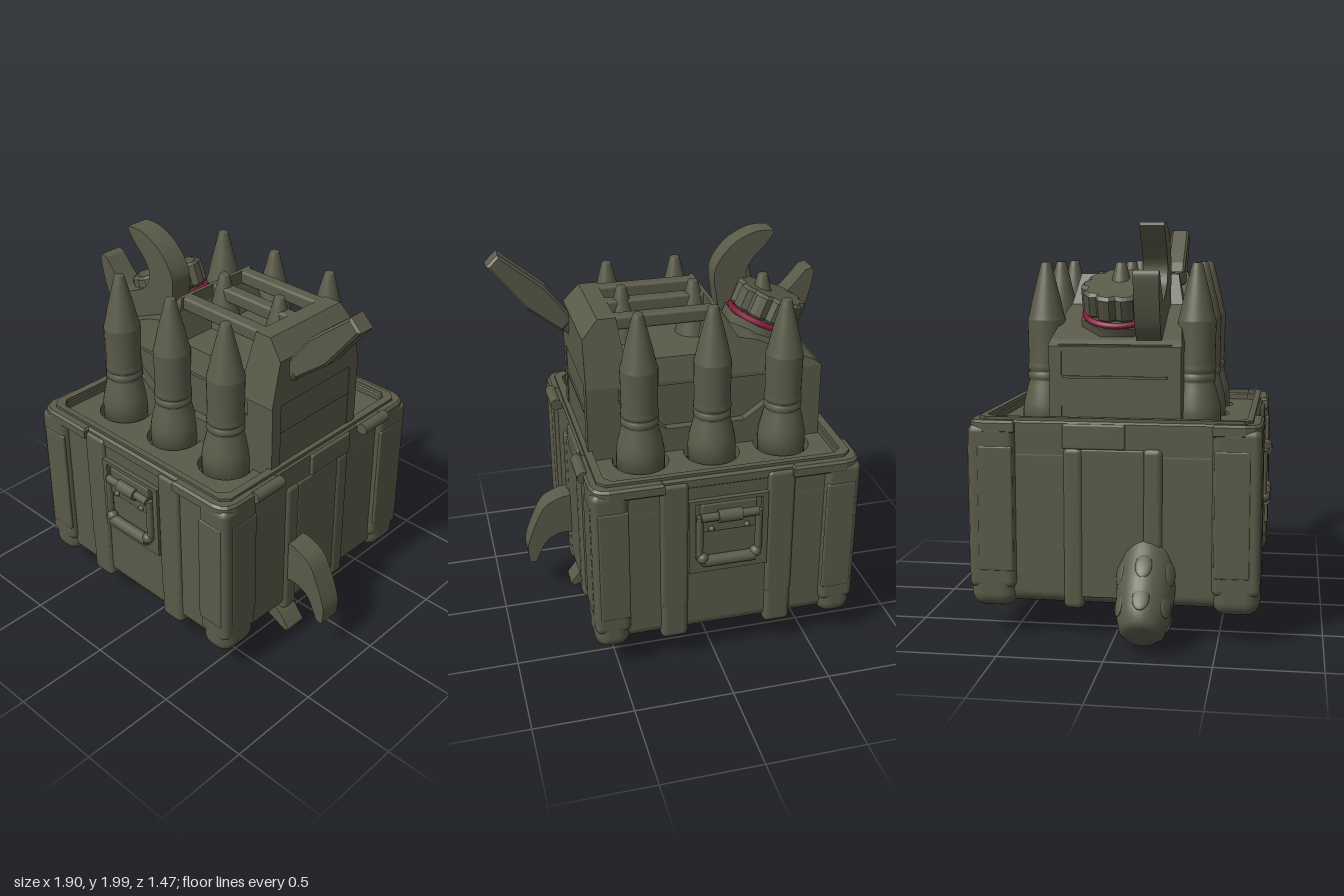
import * as THREE from 'three';
import { RoundedBoxGeometry } from 'three/addons/geometries/RoundedBoxGeometry.js';

const olive = new THREE.MeshStandardMaterial({ color: 0x5a5a49 });
olive.name = 'olive drab';
const red = new THREE.MeshStandardMaterial({ color: 0x82193a });
red.name = 'seal red';

const V2 = (list) => list.map(([x, y]) => new THREE.Vector2(x, y));

function add(parent, name, geometry, x = 0, y = 0, z = 0, material = olive) {
  const mesh = new THREE.Mesh(geometry, material);
  mesh.name = name;
  mesh.position.set(x, y, z);
  parent.add(mesh);
  return mesh;
}

function group(parent, name, x = 0, y = 0, z = 0) {
  const g = new THREE.Group();
  g.name = name;
  g.position.set(x, y, z);
  parent.add(g);
  return g;
}

const rbox = (w, h, d, r) => new RoundedBoxGeometry(w, h, d, 3, r);
const lathe = (list, n = 32) => new THREE.LatheGeometry(V2(list), n);
const extrude = (shape, depth, bevel = 0) => new THREE.ExtrudeGeometry(shape, {
  depth, bevelEnabled: bevel > 0, bevelSize: bevel, bevelThickness: bevel,
  bevelOffset: -bevel, bevelSegments: 1, curveSegments: 20,
});
// Horizontal slab: a plan shape extruded upward
const slab = (shape, h, bevel = 0) => extrude(shape, h, bevel).rotateX(-Math.PI / 2);
// Plan rectangle with cut corners
const rect = (w, d, c = 0.04) => V2([
  [c - w / 2, -d / 2], [w / 2 - c, -d / 2], [w / 2, c - d / 2], [w / 2, d / 2 - c],
  [w / 2 - c, d / 2], [c - w / 2, d / 2], [-w / 2, d / 2 - c], [-w / 2, c - d / 2],
]);
function ring(outer, inner) {
  const s = new THREE.Shape(outer);
  s.holes.push(new THREE.Path(inner));
  return s;
}

function crate(root) {
  const c = group(root, 'crate', -0.055);
  add(c, 'crateBody', rbox(1.29, 0.78, 1.33, 0.06), 0, 0.57);
  add(c, 'upperWall', slab(ring(rect(1.29, 1.33), rect(1.18, 1.24)), 0.13), 0, 0.91);

  for (const s of [-1, 1]) {
    // Straps that wrap the walls and the bottom
    add(c, 'longStrap', rbox(0.14, 0.79, 1.37, 0.03), s * 0.27, 0.555);
    add(c, 'crossStrap', rbox(1.32, 0.79, 0.1, 0.03), 0, 0.555, s * 0.19);
    add(c, 'sidePanel', rbox(0.02, 0.72, 0.3, 0.008), s * 0.645, 0.58);
    add(c, 'sideTab', rbox(0.03, 0.12, 0.3, 0.01), s * 0.645, 1, -0.09);
    for (const t of [-1, 1]) {
      add(c, 'strapTop', rbox(0.14, 0.7, 0.06, 0.02), s * 0.27, 0.7, t * 0.655);
      // Corner post: lower block plus two plates reaching the rim
      add(c, 'cornerPost', rbox(0.18, 0.8, 0.23, 0.07), s * 0.585, 0.555, t * 0.585);
      add(c, 'postFront', rbox(0.18, 0.8, 0.08, 0.035), s * 0.585, 0.65, t * 0.66);
      add(c, 'postSide', rbox(0.08, 0.8, 0.23, 0.035), s * 0.635, 0.65, t * 0.585);
      add(c, 'postPanel', rbox(0.15, 0.61, 0.02, 0.01), s * 0.573, 0.645, t * 0.695);
      add(c, 'postSidePanel', rbox(0.02, 0.61, 0.17, 0.01), s * 0.668, 0.645, t * 0.565);
    }
  }

  // Notched rim, wider over the corner posts
  const q = [[0.645, 0.47], [0.675, 0.47], [0.675, 0.62], [0.66, 0.665], [0.635, 0.688], [0.59, 0.7], [0.32, 0.7], [0.32, 0.67]];
  const back = [...q].reverse();
  const outline = V2([
    ...q, ...back.map(([x, y]) => [-x, y]), ...q.map(([x, y]) => [-x, -y]), ...back.map(([x, y]) => [x, -y]),
  ]);
  add(c, 'rim', slab(ring(outline, rect(1.18, 1.24)), 0.04, 0.012), 0, 1.02);
  add(c, 'rimLip', slab(ring(rect(1.27, 1.31), rect(1.19, 1.25)), 0.02), 0, 1.066);

  // Inner tray with round sockets
  const tray = new THREE.Shape(rect(1.2, 1.26));
  for (const x of [-0.365, 0, 0.365]) for (const z of [-0.37, 0.37]) {
    tray.holes.push(new THREE.Path().absarc(x, z, 0.14, 0, Math.PI * 2, true));
  }
  add(c, 'tray', slab(tray, 0.07), 0, 0.962);

  // Hinge barrels
  for (const z of [-0.405, 0.405]) {
    add(c, 'hinge', new THREE.CylinderGeometry(0.03, 0.03, 0.19, 14).rotateX(Math.PI / 2), 0.675, 1.05, z);
    add(c, 'hingeLeaf', rbox(0.06, 0.05, 0.19, 0.01), 0.64, 1.045, z);
  }

  // Drop handles front and back
  for (const s of [0, 1]) {
    const h = group(c, 'dropHandle');
    h.rotation.y = s * Math.PI;
    const frame = ring(
      V2([[-0.2, 0.54], [0.2, 0.54], [0.2, 0.95], [-0.2, 0.95]]),
      V2([[-0.17, 0.63], [-0.13, 0.57], [0.13, 0.57], [0.17, 0.63], [0.17, 0.93], [-0.17, 0.93]]),
    );
    add(h, 'handleFrame', extrude(frame, 0.03), 0, 0, 0.66);
    add(h, 'hingePlate', rbox(0.28, 0.16, 0.04, 0.01), 0, 0.85, 0.675);
    const bar = (name, len, r, x, y) => add(h, name,
      new THREE.CylinderGeometry(r, r, len, 12).rotateZ(Math.PI / 2), x, y, 0.7);
    bar('hingePin', 0.29, 0.022, 0, 0.86);
    bar('hingeBarrel', 0.12, 0.034, 0, 0.86);
    bar('grip', 0.26, 0.03, 0, 0.61);
    for (const x of [-0.15, 0.15]) {
      add(h, 'handleArm', new THREE.CylinderGeometry(0.018, 0.018, 0.22, 10), x, 0.755, 0.695);
      add(h, 'handleElbow', new THREE.SphereGeometry(0.03, 12, 8), x * 0.9, 0.63, 0.7);
    }
    for (const x of [-0.09, 0.09]) add(h, 'rivet', new THREE.SphereGeometry(0.016, 10, 8), x, 0.79, 0.695);
  }
}

function bullets(root) {
  const geometry = lathe([
    [0, 0.96], [0.12, 0.96], [0.12, 1.09], [0.115, 1.13], [0.096, 1.21], [0.088, 1.235], [0.088, 1.245], [0.094, 1.25],
    [0.094, 1.27], [0.087, 1.275], [0.087, 1.285], [0.094, 1.29], [0.094, 1.31], [0.09, 1.33], [0.093, 1.53],
    [0.093, 1.535], [0.085, 1.56], [0.07, 1.63], [0.035, 1.77], [0.026, 1.805], [0.022, 1.812], [0, 1.812],
  ]);
  for (const x of [-0.42, -0.055, 0.31]) for (const z of [-0.37, 0, 0.37]) add(root, 'bullet', geometry, x, 0, z);
}

function fuelCan(root) {
  const can = group(root, 'fuelCan');
  add(can, 'canCore', new THREE.BoxGeometry(1.19, 0.44, 0.54), -0.04, 1.21);
  add(can, 'canSeam', new THREE.BoxGeometry(1.206, 0.012, 0.5), -0.04, 1.275);

  // Pressed faces with a sunken panel
  const face = ring(
    V2([[-0.64, 0.99], [0.56, 0.99], [0.56, 1.42], [-0.64, 1.42]]),
    V2([[-0.48, 1.4], [-0.48, 1.33], [-0.24, 1.16], [0.16, 1.16], [0.4, 1.33], [0.4, 1.4]]),
  );
  for (const z of [-0.315, 0.255]) add(can, 'canFace', extrude(face, 0.06), 0, 0, z);

  // Shoulders narrow toward the top
  const upper = new THREE.Shape(V2([
    [-0.64, 1.42], [0.56, 1.42], [0.56, 1.66], [0.48, 1.75], [0.39, 1.75], [0.36, 1.54],
    [-0.06, 1.54], [-0.1, 1.68], [-0.1, 1.75], [-0.12, 1.75], [-0.21, 1.6], [-0.3, 1.58], [-0.6, 1.45],
  ]));
  const geo = extrude(upper, 1);
  const p = geo.attributes.position;
  for (let i = 0; i < p.count; i++) {
    const half = 0.32 - (0.07 * (p.getY(i) - 1.42)) / 0.33;
    p.setZ(i, (p.getZ(i) * 2 - 1) * half);
  }
  geo.computeVertexNormals();
  add(can, 'canShoulder', geo);
  for (const z of [-0.205, 0, 0.205]) add(can, 'canHandleBar', rbox(0.54, 0.07, 0.07, 0.015), 0.15, 1.715, z);

  // Tilted screw cap with a red seal on a faceted collar
  const cap = group(can, 'cap', -0.39, 1.5, 0);
  cap.rotation.z = 0.39;
  add(cap, 'collar', new THREE.CylinderGeometry(0.2, 0.2, 0.07, 8).rotateY(Math.PI / 8), 0, 0.04);
  add(cap, 'seal', new THREE.TorusGeometry(0.173, 0.016, 8, 36).rotateX(Math.PI / 2), 0, 0.085, 0, red);
  const capShape = new THREE.Shape();
  for (let i = 0; i < 40; i++) {
    const a = (i / 40) * Math.PI * 2;
    const r = i % 4 === 0 ? 0.165 : 0.185;
    capShape[i ? 'lineTo' : 'moveTo'](Math.cos(a) * r, Math.sin(a) * r);
  }
  add(cap, 'capBody', slab(capShape, 0.1, 0.015), 0, 0.115);
}

function wrench(root) {
  const s = new THREE.Shape();
  s.moveTo(-0.51, 1.985);
  // Upper jaw, inside the opening
  s.splineThru(V2([[-0.465, 1.925], [-0.405, 1.865], [-0.365, 1.79], [-0.39, 1.71], [-0.465, 1.66], [-0.545, 1.635], [-0.61, 1.68], [-0.69, 1.77]]));
  s.lineTo(-0.725, 1.78);
  s.splineThru(V2([[-0.735, 1.74], [-0.7, 1.6], [-0.65, 1.49], [-0.58, 1.435]]));
  // Shank and lower jaw
  s.lineTo(-0.4, 1.38);
  s.lineTo(0.26, 0.46);
  s.splineThru(V2([[0.27, 0.27], [0.33, 0.16], [0.47, 0.07], [0.6, 0.012]]));
  s.lineTo(0.62, 0.03);
  s.splineThru(V2([[0.565, 0.1], [0.49, 0.17], [0.48, 0.25], [0.53, 0.34], [0.63, 0.375], [0.7, 0.36], [0.75, 0.32], [0.805, 0.21]]));
  s.lineTo(0.84, 0.21);
  s.splineThru(V2([[0.845, 0.31], [0.8, 0.44], [0.74, 0.55], [0.645, 0.6]]));
  s.lineTo(0.42, 0.62);
  s.lineTo(-0.23, 1.56);
  s.splineThru(V2([[-0.21, 1.66], [-0.2, 1.81], [-0.28, 1.93], [-0.4, 1.995], [-0.505, 2.0]]));
  add(root, 'wrench', extrude(s, 0.12), 0, 0, 0.1);
}

function screwdriver(root) {
  const d = group(root, 'screwdriver', -0.825, 0.15, 0.16);
  d.rotation.z = -0.768;
  const handle = lathe([
    [0, -0.085], [0.09, -0.08], [0.125, -0.055], [0.148, 0.01], [0.163, 0.12], [0.168, 0.3], [0.14, 0.6], [0.05, 0.66], [0.045, 0.7],
  ]);
  add(d, 'handle', handle).scale.z = 0.85;
  // Low oval grip pads in two rows
  for (let row = 0; row < 2; row++) for (let i = 0; i < 6; i++) {
    const a = ((i + 0.5) / 6) * Math.PI * 2;
    const r = 0.148 + row * 0.013;
    const pad = add(d, 'gripPad', new THREE.SphereGeometry(0.045, 14, 10), Math.sin(a) * r, 0.05 + row * 0.16, Math.cos(a) * r * 0.85);
    pad.rotation.y = a;
    pad.scale.set(0.9, 1.4, 0.25);
  }
  add(d, 'shaft', new THREE.CylinderGeometry(0.045, 0.045, 1.5, 20), 0, 1.3);
  const blade = new THREE.Shape(V2([[-0.045, 2], [0.045, 2], [0.06, 2.12], [0.073, 2.22], [0.066, 2.29], [0.042, 2.51], [-0.042, 2.51], [-0.066, 2.29], [-0.073, 2.22], [-0.06, 2.12]]));
  add(d, 'blade', extrude(blade, 0.08, 0.012), 0, 0, -0.045);
}

function bolt(root) {
  // Hexagonal head under the crate
  const head = (top, bottom, h) => new THREE.CylinderGeometry(top, bottom, h, 6, 1).rotateY(Math.PI / 6).toNonIndexed();
  const parts = [['boltHead', head(0.205, 0.205, 0.14), 0.12], ['boltBevel', head(0.205, 0.185, 0.035), 0.0325]];
  for (const [name, geo, y] of parts) {
    geo.computeVertexNormals();
    add(root, name, geo, 0.095, y, -0.1);
  }
}

export function createModel() {
  const root = new THREE.Group();
  root.name = 'supplyCrate';
  [crate, bullets, fuelCan, wrench, screwdriver, bolt].forEach((build) => build(root));
  return root;
}
